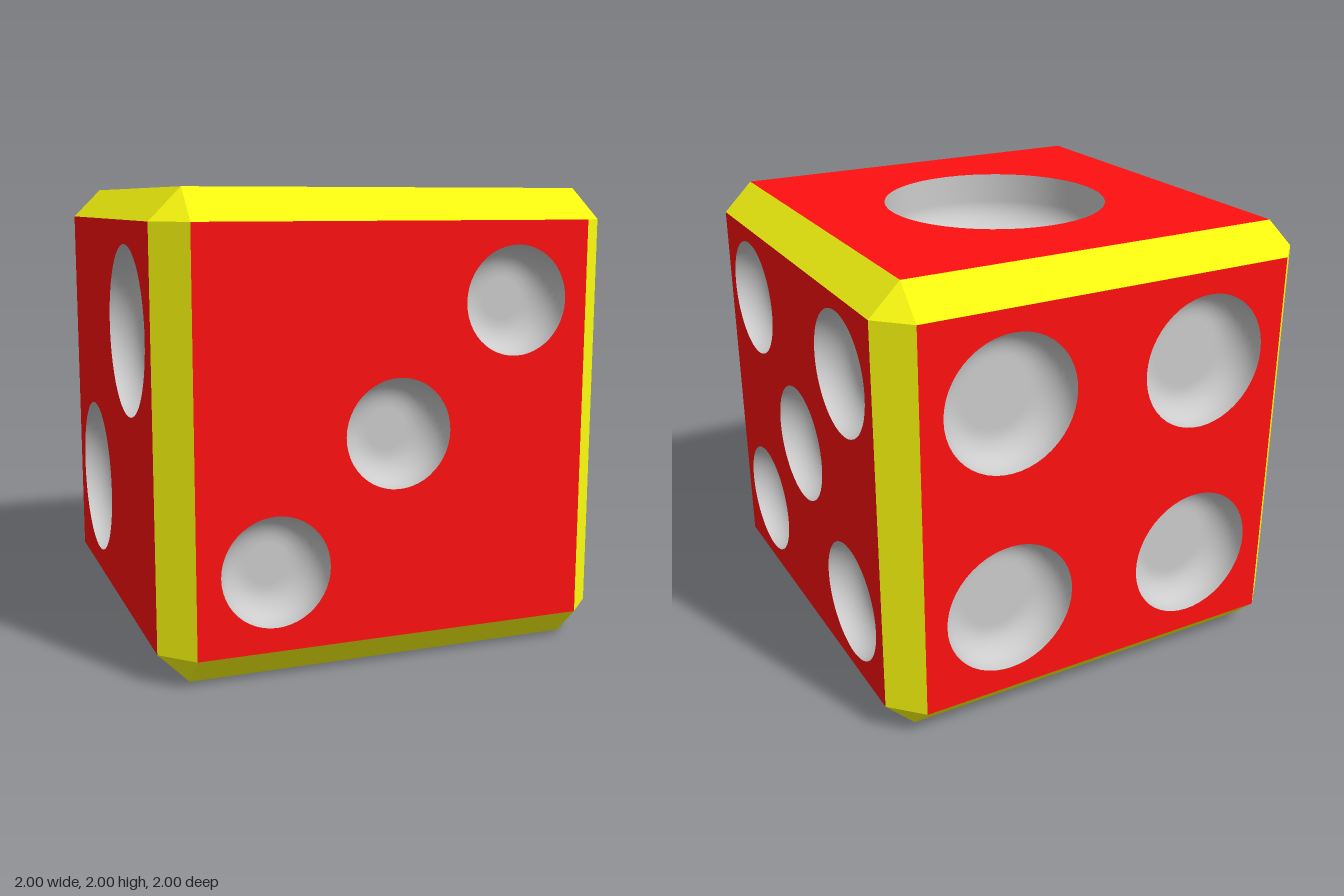
import * as THREE from 'three';

const HALF = 1;        // half the cube
const FLAT = 0.867;    // half of each flat face, inside the chamfers
const ROUND = 0.133;   // rounding at the foot of each pip

const red = new THREE.MeshStandardMaterial({ color: 0xff1010 });
const yellow = new THREE.MeshStandardMaterial({ color: 0xffff10 });
const grey = new THREE.MeshStandardMaterial({ color: 0xcccccc, side: THREE.DoubleSide });

// One entry per face: rotation from the front, pip radius, depth and places
const q = Math.PI / 2;
const four = (s) => [[-s, -s], [s, -s], [-s, s], [s, s]];
const FACES = [
  { name: 'topFace', rot: [-q, 0, 0], r: 0.5, depth: 0.267, pips: [[0, 0]] },
  { name: 'leftFace', rot: [0, -q, 0], r: 0.367, depth: ROUND, pips: [[0.4, 0.4], [-0.4, -0.4]] },
  { name: 'frontFace', rot: [0, 0, 0], r: 0.233, depth: ROUND, pips: [[-0.533, -0.533], [0, 0], [0.533, 0.533]] },
  { name: 'backFace', rot: [0, 2 * q, 0], r: 0.3, depth: ROUND, pips: four(0.467) },
  { name: 'rightFace', rot: [0, q, 0], r: 0.267, depth: ROUND, pips: [[0, 0], ...four(0.533)] },
  { name: 'bottomFace', rot: [q, 0, 0], r: 0.233, depth: ROUND,
    pips: [-0.4, 0.4].flatMap((x) => [-0.533, 0, 0.533].map((y) => [x, y])) },
];

// Dished pip with a rounded foot and a flat floor, opening towards +z
function pipGeometry(r, depth) {
  const profile = [];
  if (depth > ROUND) profile.push(new THREE.Vector2(r, 0));
  for (let i = 0; i <= 10; i++) {
    const a = (i / 10) * q;
    profile.push(new THREE.Vector2(
      r - ROUND + ROUND * Math.cos(a),
      ROUND - depth - ROUND * Math.sin(a)));
  }
  profile.push(new THREE.Vector2((r - ROUND) * 0.9, -depth), new THREE.Vector2(0, -depth));
  return new THREE.LatheGeometry(profile, 48).rotateX(q);
}

// Flat square with a round hole for each pip
function makeFace({ name, rot, r, depth, pips }) {
  const face = new THREE.Group();
  face.name = name;
  const shape = new THREE.Shape([
    new THREE.Vector2(-FLAT, -FLAT), new THREE.Vector2(FLAT, -FLAT),
    new THREE.Vector2(FLAT, FLAT), new THREE.Vector2(-FLAT, FLAT)]);
  for (const [x, y] of pips) {
    shape.holes.push(new THREE.Path().absarc(x, y, r, 0, Math.PI * 2, true));
  }
  const panel = new THREE.Mesh(new THREE.ShapeGeometry(shape, 24), red);
  panel.name = 'facePanel';
  panel.position.z = HALF;
  face.add(panel);

  const bowl = pipGeometry(r, depth);
  for (const [x, y] of pips) {
    const pip = new THREE.Mesh(bowl, grey);
    pip.name = 'pip';
    pip.position.set(x, y, HALF);
    face.add(pip);
  }
  face.rotation.set(...rot);
  return face;
}

// Twelve chamfered edges: four around each axis
function makeEdges() {
  const edges = new THREE.Group();
  edges.name = 'chamferedEdges';
  const mid = (HALF + FLAT) / 2;
  const strip = new THREE.PlaneGeometry(2 * FLAT, (HALF - FLAT) * Math.SQRT2)
    .rotateX(-q / 2).translate(0, mid, mid);
  for (const turn of [[0, 0, 0], [0, q, 0], [0, 0, q]]) {
    for (let i = 0; i < 4; i++) {
      const geo = strip.clone().rotateX(i * q).rotateY(turn[1]).rotateZ(turn[2]);
      const edge = new THREE.Mesh(geo, yellow);
      edge.name = 'chamferedEdge';
      edges.add(edge);
    }
  }
  return edges;
}

// Eight triangular corners, with the winding flipped on mirrored ones
function makeCorners() {
  const corners = new THREE.Group();
  corners.name = 'corners';
  for (const x of [-1, 1]) for (const y of [-1, 1]) for (const z of [-1, 1]) {
    const points = [[HALF, FLAT, FLAT], [FLAT, HALF, FLAT], [FLAT, FLAT, HALF]]
      .map((p) => [p[0] * x, p[1] * y, p[2] * z]);
    if (x * y * z < 0) points.reverse();
    const geo = new THREE.BufferGeometry();
    geo.setAttribute('position', new THREE.Float32BufferAttribute(points.flat(), 3));
    geo.computeVertexNormals();
    const corner = new THREE.Mesh(geo, yellow);
    corner.name = 'corner';
    corners.add(corner);
  }
  return corners;
}

export function createModel() {
  const die = new THREE.Group();
  die.name = 'die';
  die.add(...FACES.map(makeFace), makeEdges(), makeCorners());
  die.position.y = HALF;
  const model = new THREE.Group();
  model.name = 'model';
  model.add(die);
  return model;
}
